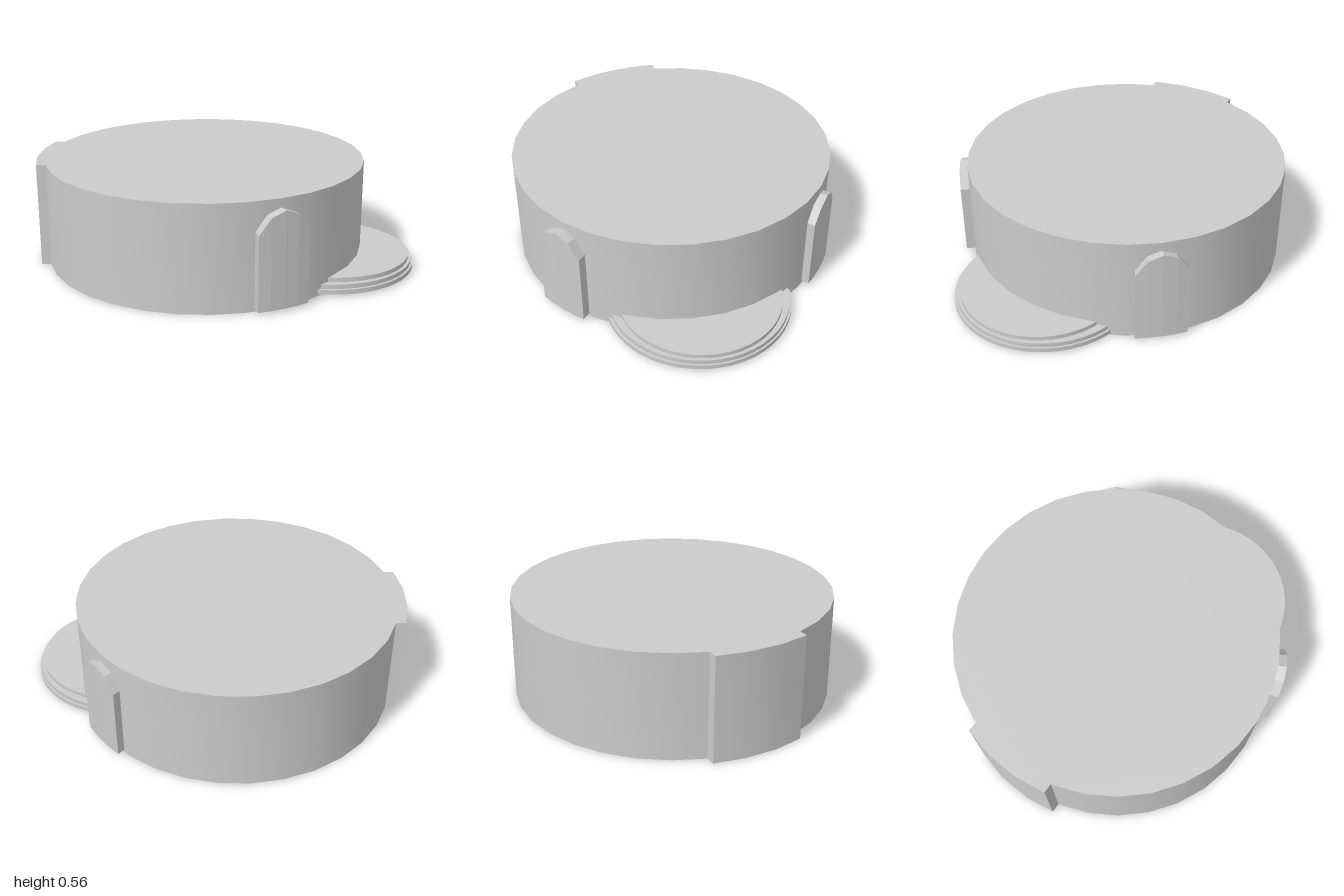
import * as THREE from 'three';
import { toCreasedNormals } from 'three/addons/utils/BufferGeometryUtils.js';

const CX = -0.08, CZ = -0.027, R = 0.87, R_OUT = 0.92, HEIGHT = 0.565;
const rad = THREE.MathUtils.degToRad;

// Drum outline with 32 sides, stepping out to a wider radius over one sector
function drumGeometry() {
  const pts = [];
  const add = (deg, r) => pts.push(new THREE.Vector2(r * Math.cos(rad(deg)), r * Math.sin(rad(deg))));
  for (let i = 0; i < 32; i++) {
    const a = i * 11.25;
    if (a > 147 && a < 179) { add(a, R_OUT); continue; }
    if (a === 180) add(179.2, R_OUT);
    add(a, R);
    if (a === 146.25) add(147.2, R_OUT);
  }
  const geo = new THREE.ExtrudeGeometry(new THREE.Shape(pts), { depth: HEIGHT, bevelEnabled: false });
  geo.rotateX(-Math.PI / 2);
  return toCreasedNormals(geo, rad(30));
}

// Pointed-arch panel wrapped round the drum: one cross-section per column
function archGeometry(rOut) {
  const columns = [[-1, 0.41], [-0.55, 0.49], [0, 0.52], [0.55, 0.49], [1, 0.41]];
  const rIn = 0.84, bottom = 0.015, half = rad(8.7);
  const pos = [], index = [];
  for (const [u, top] of columns) {
    const s = Math.sin(u * half), c = Math.cos(u * half);
    for (const [r, y] of [[rIn, bottom], [rOut, bottom], [rOut, top], [rIn, top]]) pos.push(r * s, y, r * c);
  }
  for (let i = 0; i < columns.length - 1; i++) {
    for (let k = 0; k < 4; k++) {
      const n = (k + 1) % 4, a = i * 4, b = a + 4;
      index.push(a + k, b + k, b + n, a + k, b + n, a + n);
    }
  }
  const e = (columns.length - 1) * 4;
  index.push(0, 1, 2, 0, 2, 3, e, e + 2, e + 1, e, e + 3, e + 2);
  const geo = new THREE.BufferGeometry();
  geo.setAttribute('position', new THREE.Float32BufferAttribute(pos, 3));
  geo.setIndex(index);
  const flat = geo.toNonIndexed();
  flat.computeVertexNormals();
  return flat;
}

export function createModel() {
  const group = new THREE.Group();
  const grey = new THREE.MeshStandardMaterial({ color: 0xcccccc });
  const add = (name, geo, x, y, z) => {
    const mesh = new THREE.Mesh(geo, grey);
    mesh.name = name;
    mesh.position.set(x, y, z);
    group.add(mesh);
    return mesh;
  };

  add('drum', drumGeometry(), CX, 0, CZ);

  // Arched panels at the front and on the left side
  add('frontArch', archGeometry(0.92), CX, 0, CZ).rotation.y = rad(11.25);
  add('sideArch', archGeometry(0.91), CX, 0, CZ).rotation.y = rad(112.5);

  // Round entrance steps, partly buried in the drum: x, z, radius, bottom, top
  const steps = [
    [0.51, 0.29, 0.49, 0.01, 0.034],
    [0.515, 0.29, 0.475, 0.034, 0.057],
    [0.54, 0.305, 0.43, 0.057, 0.08],
  ];
  steps.forEach(([x, z, r, y0, y1], i) => {
    add(`step${i + 1}`, new THREE.CylinderGeometry(r, r, y1 - y0, 48), x, (y0 + y1) / 2, z);
  });

  return group;
}
